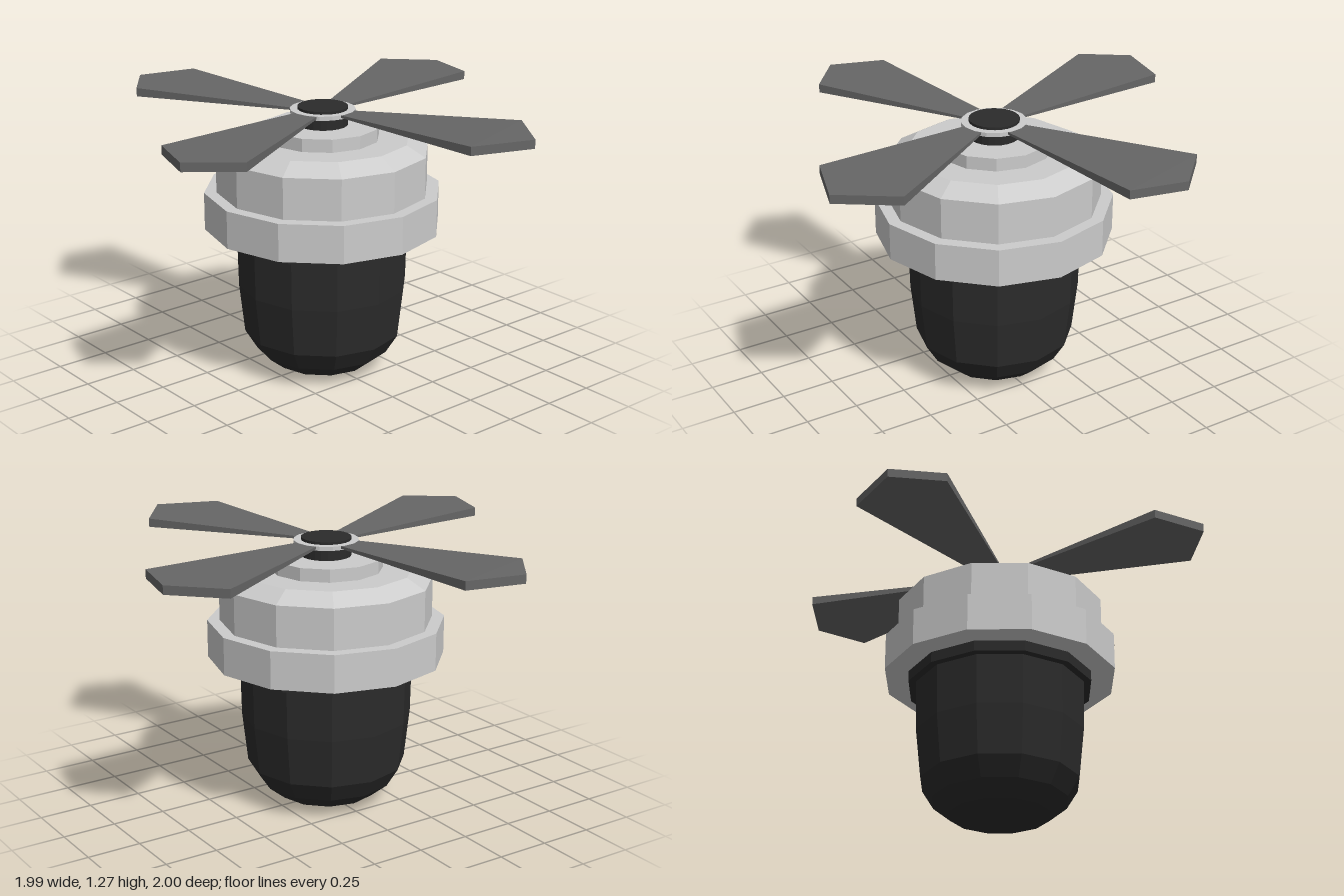
import * as THREE from 'three';

const body = new THREE.MeshStandardMaterial({ name: 'black cup', color: 0x2b2b2b });
const shell = new THREE.MeshStandardMaterial({ name: 'light grey shell', color: 0xcccccc });
const steel = new THREE.MeshStandardMaterial({ name: 'blade grey', color: 0x666666 });

// Faceted turned part from a bottom-to-top profile of [radius, y]
function turned(name, profile, material, sides = 12) {
  const points = profile.map(([r, y]) => new THREE.Vector2(r, y));
  const geometry = new THREE.LatheGeometry(points, sides).toNonIndexed();
  geometry.computeVertexNormals();
  const mesh = new THREE.Mesh(geometry, material);
  mesh.name = name;
  return mesh;
}

// Blade outline [x, z]: shoulder, tip, shoulder, root, root (clockwise from above).
// It is thick at the tip and thins towards the root.
function blade(name, outline) {
  const mid = 1.247;
  const half = [0.02, 0.02, 0.02, 0.005, 0.005];
  const reach = [1, 1, 1, 0.75, 0.75];
  const corner = (i, side) => [
    outline[i][0] * reach[i], mid + side * half[i], outline[i][1] * reach[i],
  ];
  const pos = [];
  const tri = (...corners) => corners.forEach((c) => pos.push(...c));
  for (let i = 1; i < 4; i++) {
    tri(corner(0, 1), corner(i + 1, 1), corner(i, 1));
    tri(corner(0, -1), corner(i, -1), corner(i + 1, -1));
  }
  for (let i = 0; i < 5; i++) {
    const j = (i + 1) % 5;
    tri(corner(i, 1), corner(j, 1), corner(j, -1));
    tri(corner(i, 1), corner(j, -1), corner(i, -1));
  }
  const geometry = new THREE.BufferGeometry();
  geometry.setAttribute('position', new THREE.Float32BufferAttribute(pos, 3));
  geometry.computeVertexNormals();
  const mesh = new THREE.Mesh(geometry, steel);
  mesh.name = name;
  return mesh;
}

export function createModel() {
  const model = new THREE.Group();
  model.name = 'bladeAssembly';

  // Rounded cup and its collar
  model.add(turned('cup', [
    [0, 0], [0.13, 0.005], [0.235, 0.035], [0.315, 0.1], [0.37, 0.19],
    [0.395, 0.42], [0.4, 0.66],
  ], body));
  model.add(turned('collar', [[0, 0.655], [0.435, 0.655], [0.435, 0.71], [0, 0.71]], body));

  // Stepped housing
  model.add(turned('housingRim', [[0, 0.705], [0.547, 0.705], [0.547, 0.88], [0, 0.88]], shell));
  model.add(turned('housing', [
    [0.49, 0.87], [0.49, 1.07], [0.4, 1.12], [0, 1.12],
  ], shell));
  model.add(turned('housingCap', [[0.26, 1.11], [0.26, 1.18], [0, 1.18]], shell));

  // Shaft and the ring that holds the blades
  model.add(turned('shaft', [[0.115, 1.17], [0.115, 1.266], [0, 1.266]], body, 24));
  model.add(turned('hubRing', [
    [0.11, 1.235], [0.15, 1.235], [0.15, 1.254], [0.11, 1.254],
  ], shell, 16));

  // Four blades
  const blades = new THREE.Group();
  blades.name = 'blades';
  blades.add(
    blade('leftBlade', [[0.745, -0.51], [0.99, -0.335], [0.894, -0.053], [0.14, 0.025], [0.12, -0.085]]),
    blade('frontBlade', [[0.479, 0.787], [0.314, 0.995], [0.065, 0.917], [-0.03, 0.14], [0.1, 0.107]]),
    blade('rightBlade', [[-0.795, 0.479], [-1, 0.325], [-0.942, 0.05], [-0.14, -0.03], [-0.1, 0.117]]),
    blade('backBlade', [[-0.51, -0.802], [-0.31, -1], [-0.053, -0.944], [0.03, -0.155], [-0.1, -0.117]]),
  );
  model.add(blades);
  return model;
}
